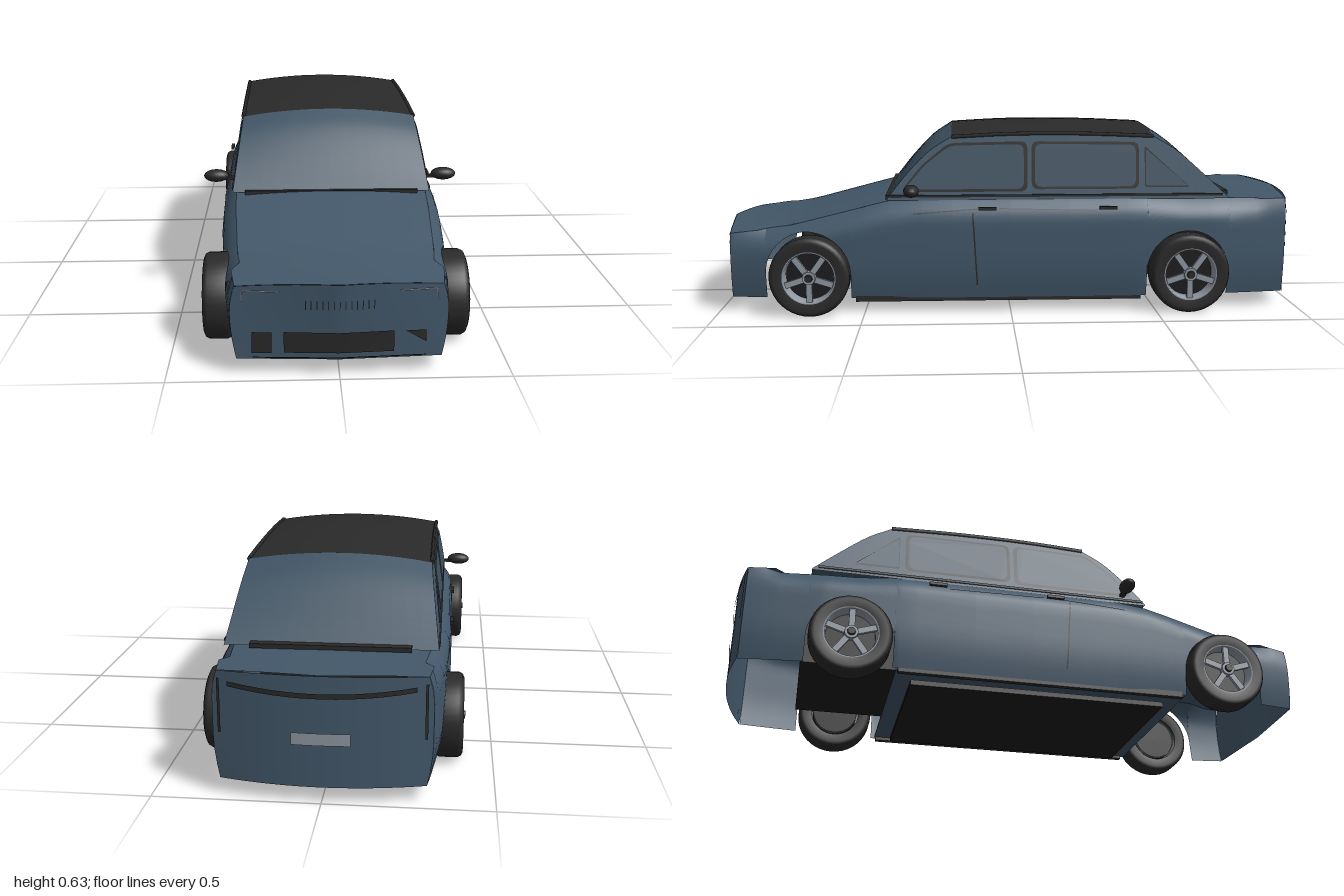
import * as THREE from 'three';

const mat = (name, color) => {
  const m = new THREE.MeshStandardMaterial({ color, side: THREE.DoubleSide });
  m.name = name;
  return m;
};
const lerp = THREE.MathUtils.lerp;

// Piecewise-linear lookup through [key, value] pairs with falling keys
function lookup(table, k) {
  for (let i = 1; i < table.length; i++) {
    const [a, va] = table[i - 1], [b, vb] = table[i];
    if (k >= b) return lerp(va, vb, Math.max(0, (a - k) / (a - b)));
  }
  return table[table.length - 1][1];
}

// Grid surface: fn(u, v, i, j) returns [x, y, z]
function patch(fn, nu, nv) {
  const pos = [], idx = [];
  for (let j = 0; j <= nv; j++) for (let i = 0; i <= nu; i++) pos.push(...fn(i / nu, j / nv, i, j));
  for (let j = 0; j < nv; j++) for (let i = 0; i < nu; i++) {
    const a = j * (nu + 1) + i, b = a + nu + 1;
    idx.push(a, b, a + 1, a + 1, b, b + 1);
  }
  const g = new THREE.BufferGeometry();
  g.setAttribute('position', new THREE.Float32BufferAttribute(pos, 3));
  g.setIndex(idx);
  g.computeVertexNormals();
  return g;
}

// Polygon with rounded corners
function roundShape(pts, r) {
  const P = pts.map(p => new THREE.Vector2(...p)), n = P.length, s = new THREE.Shape();
  P.forEach((p, i) => {
    const toward = q => p.clone().add(q.clone().sub(p).setLength(r));
    const a = toward(P[(i + n - 1) % n]), b = toward(P[(i + 1) % n]);
    if (i) s.lineTo(a.x, a.y); else s.moveTo(a.x, a.y);
    s.quadraticCurveTo(p.x, p.y, b.x, b.y);
  });
  s.closePath();
  return s;
}

// Body rules: shoulder height, plan width, section, nose and tail curves
const END = 0.955, LOW = 0.055;
const topY = z => lookup([[1, .273], [.93, .28], [.75, .303], [.42, .387], [.3, .4], [-.45, .4], [-.6, .388], [-1, .385]], z);
const planX = z => lookup([[1, .308], [.93, .317], [.75, .342], [.5, .357], [.2, .362], [-.4, .362], [-.7, .348], [-.9, .326], [-1, .312]], z);
function sideX(z, y) {
  const d = Math.max(0, 1 - (topY(z) - y) / 0.08), t = Math.max(0, (0.2 - y) / 0.15);
  const shoulder = Math.abs(z) > 0.85 ? 0.015 : 0.045;
  return planX(z) - shoulder * d * d - 0.018 * t * t;
}
const noseZ = (x, y) => END + (0.042 - (0.29 - y) * 0.1) * Math.max(0, 1 - Math.abs(x) / 0.31);
const tailZ = x => -END - 0.042 * Math.max(0, 1 - (x / 0.31) ** 2);
// Cabin side lean
const cabinX = y => 0.325 - 0.15 * (y - 0.4);

export function createModel() {
  const car = new THREE.Group();
  car.name = 'car';
  const paint = mat('bodyPaint', 0x43586a), glass = mat('glass', 0x3f5363), black = mat('blackTrim', 0x2a2a2a);
  const silver = mat('silver', 0x9098a2), dark = mat('darkMetal', 0x1c1c1e), seam = mat('grilleSlat', 0x5f6b76);
  const add = (name, geo, m, parent = car) => {
    const mesh = new THREE.Mesh(geo, m);
    mesh.name = name;
    parent.add(mesh);
    return mesh;
  };
  const box = (name, m, w, h, d, x, y, z) => add(name, new THREE.BoxGeometry(w, h, d), m).position.set(x, y, z);

  // Body side stations [z, lower edge], with round wheel arches
  const stations = [[END, LOW], [.9, LOW]];
  const arch = (c, r) => {
    stations.push([c + r, LOW]);
    for (let k = 0; k <= 24; k++) {
      const a = Math.PI * k / 24;
      stations.push([c + r * Math.cos(a), 0.14 + r * Math.sin(a)]);
    }
    stations.push([c - r, LOW]);
  };
  arch(0.69, 0.145);
  for (const z of [.5, .42, .3, .2, 0, -.2, -.4, -.45]) stations.push([z, LOW]);
  arch(-0.61, 0.142);
  stations.push([-.85, LOW], [-.9, LOW], [-END, LOW]);
  for (const s of [1, -1]) {
    add('bodySide', patch((u, v, i) => {
      const [z, low] = stations[i], y = lerp(topY(z), low, v ** 1.6);
      return [s * sideX(z, y), y, z];
    }, stations.length - 1, 12), paint);
  }

  // Hood and rear deck, gently crowned
  const deck = (name, z0, z1, crown) => add(name, patch((u, v) => {
    const z = lerp(z0, z1, v), k = u * 2 - 1, y = topY(z);
    return [k * sideX(z, y), y + crown * (1 - k * k), z + (Math.abs(z) === END ? Math.sign(z) * 0.04 * (1 - Math.abs(k)) : 0)];
  }, 16, 12), paint);
  deck('hood', END, 0.38, 0.014);
  deck('trunkLid', -0.6, -END, 0.006);

  // Front and rear faces
  add('frontFascia', patch((u, v) => {
    const k = u * 2 - 1, y = lerp(topY(END) + 0.014 * (1 - k * k), LOW, v);
    const x = k * sideX(END, Math.min(y, topY(END)));
    return [x, y, noseZ(x, y)];
  }, 20, 8), paint);
  add('rearFascia', patch((u, v) => {
    const k = u * 2 - 1, y = lerp(0.386 + 0.005 * (1 - k * k), LOW, v), x = k * sideX(-END, Math.min(y, 0.385));
    return [x, y, tailZ(x)];
  }, 20, 8), paint);

  // Thin plates that follow the nose or the tail
  const nosePlate = (name, m, x0, x1, y0, y1, shrink = 0) => add(name, patch((u, v) => {
    const x = lerp(x0, x1, u), y = lerp(y1, lerp(y0, y1, shrink * (1 - u)), v);
    return [x, y, noseZ(x, y) + 0.004];
  }, 4, 1), m);
  const tailPlate = (name, m, x0, x1, y0, y1, bow = 0) => add(name, patch((u, v) => {
    const x = lerp(x0, x1, u);
    return [x, lerp(y0, y1, v) + bow * x * x, tailZ(x) - 0.005];
  }, 12, 1), m);
  nosePlate('lowerGrille', black, -0.16, 0.157, 0.077, 0.142);
  nosePlate('sideIntake', black, -0.252, -0.195, 0.075, 0.14);
  nosePlate('sideIntake', black, 0.19, 0.25, 0.103, 0.14, 1);
  nosePlate('lowerSeam', black, -0.25, 0.25, 0.06, 0.063);
  for (let i = -6; i <= 6; i++) {
    const x = i * 0.0163;
    nosePlate('grilleSlat', Math.abs(i) < 3 ? silver : seam, x - 0.0015, x + 0.0015, 0.214, 0.242);
  }
  for (const s of [1, -1]) {
    nosePlate('headlightBar', silver, Math.min(s * 0.17, s * 0.28), Math.max(s * 0.17, s * 0.28), 0.264, 0.269);
    nosePlate('headlightDrop', silver, s * 0.279 - 0.0025, s * 0.279 + 0.0025, 0.233, 0.266);
    tailPlate('tailLamp', black, s * 0.298 - 0.004, s * 0.298 + 0.004, 0.2, 0.365);
  }
  tailPlate('tailStrip', black, -0.27, 0.27, 0.325, 0.34, 0.25);
  tailPlate('plate', silver, -0.085, 0.085, 0.185, 0.222);

  // Cabin: windscreen, roof and rear window share one edge line
  const line = pts => new THREE.CatmullRomCurve3(pts.map(([z, y]) => new THREE.Vector3(0, y, z)));
  const front = line([[.42, .395], [.35, .482], [.27, .56], [.2, .603]]);
  const roof = line([[.2, .603], [0, .612], [-.25, .612], [-.49, .603]]);
  const rear = line([[-.49, .603], [-.57, .555], [-.66, .478], [-.75, .395]]);
  for (const [name, curve, m] of [['windscreen', front, glass], ['roof', roof, black], ['rearWindow', rear, glass]]) {
    add(name, patch((u, v) => {
      const p = curve.getPoint(v), k = u * 2 - 1;
      return [k * cabinX(p.y), p.y + 0.125 * Math.max(0, p.y - 0.4) * (1 - k * k), p.z];
    }, 14, 12), m);
  }
  const edge = [...front.getPoints(10), ...roof.getPoints(10).slice(1), ...rear.getPoints(10).slice(1)];
  const windows = [
    ['frontWindow', [[.375, .418], [.30, .51], [.21, .582], [-.058, .587], [-.058, .418]], 0.025],
    ['rearSideWindow', [[-.072, .587], [-.072, .425], [-.44, .425], [-.44, .583]], 0.025],
    ['quarterWindow', [[-.46, .57], [-.46, .43], [-.615, .43]], 0.008],
  ];
  for (const s of [1, -1]) {
    add('cabinSide', patch((u, v, i) => {
      const p = edge[i], y = lerp(p.y, 0.39, v);
      return [s * cabinX(y), y, p.z];
    }, edge.length - 1, 2), paint);
    // Window frames with glass laid over them
    const sidePlate = (name, pts, r, off, m) => {
      const g = new THREE.ShapeGeometry(roundShape(pts, r), 6), p = g.attributes.position;
      for (let i = 0; i < p.count; i++) {
        const z = p.getX(i), y = p.getY(i);
        p.setXYZ(i, s * (cabinX(y) + off), y, z);
      }
      g.computeVertexNormals();
      add(name, g, m);
    };
    for (const [name, pts, r] of windows) {
      const cz = pts.reduce((a, p) => a + p[0], 0) / pts.length, cy = pts.reduce((a, p) => a + p[1], 0) / pts.length;
      sidePlate(name + 'Frame', pts, r, 0.003, black);
      sidePlate(name, pts.map(([z, y]) => [cz + (z - cz) * 0.94, cy + (y - cy) * 0.89]), r, 0.006, glass);
    }
    const rail = new THREE.CatmullRomCurve3(roof.getPoints(10).map(p => new THREE.Vector3(s * cabinX(p.y), p.y, p.z)));
    add('roofRail', new THREE.TubeGeometry(rail, 24, 0.007, 6), black);

    // Belt trim, handles and door seams
    box('beltTrim', black, 0.008, 0.008, 1.14, s * 0.325, 0.404, -0.16);
    for (const z of [0.08, -0.33]) box('doorHandle', black, 0.012, 0.01, 0.06, s * 0.362, 0.366, z);
    const ribbon = (name, z0, y0, z1, y1, w) => add(name, patch((u, v) => {
      const z = lerp(z0, z1, v) + (y0 - y1 > 0.1 ? (u - 0.5) * w : 0), y = lerp(y0, y1, v) + (y0 - y1 > 0.1 ? 0 : (u - 0.5) * w);
      return [s * (sideX(z, y) + 0.003), y, z];
    }, 1, 12), black);
    ribbon('doorSeam', 0.13, 0.35, 0.115, 0.1, 0.005);
    ribbon('shoulderLine', 0.33, 0.348, 0.1, 0.364, 0.004);
    ribbon('shoulderLine', 0.04, 0.364, -0.29, 0.356, 0.003);
    box('sill', black, 0.02, 0.02, 0.98, s * 0.333, 0.053, 0.04);

    // Door mirror
    const mirror = add('mirror', new THREE.SphereGeometry(1, 20, 12), black);
    mirror.scale.set(0.042, 0.021, 0.026);
    mirror.position.set(s * 0.383, 0.43, 0.335);
    box('mirrorStalk', black, 0.05, 0.01, 0.018, s * 0.335, 0.422, 0.335);
  }
  box('cowl', black, 0.57, 0.014, 0.02, 0, 0.394, 0.418);
  box('rearDeckTrim', black, 0.49, 0.014, 0.035, 0, 0.399, -0.75);

  // Underside
  box('underbody', paint, 0.66, 0.006, 1.0, 0, 0.058, 0.045);
  box('floorPan', dark, 0.56, 0.018, 0.88, 0, 0.036, 0.04);
  box('rearUnderbox', dark, 0.44, 0.2, 0.32, 0, 0.2, -0.6);
  box('firewall', dark, 0.62, 0.28, 0.01, 0, 0.2, 0.53);

  // Wheels: tyre, rim, five spokes and cap, turned around x
  const tyre = [[.088, -.04], [.118, -.045], [.129, -.04], [.135, -.028], [.135, .028], [.129, .04], [.118, .045], [.088, .04]];
  const rim = [[.09, .041], [.085, .041], [.08, .015], [.08, -.04]];
  const lathe = pts => new THREE.LatheGeometry(pts.map(p => new THREE.Vector2(...p)), 40);
  for (const s of [1, -1]) for (const z of [0.68, -0.61]) {
    const wheel = new THREE.Group();
    wheel.name = 'wheel';
    wheel.position.set(s * 0.36, 0.14, z);
    wheel.rotation.z = -s * Math.PI / 2;
    add('tyre', lathe(tyre), black, wheel);
    add('rim', lathe(rim), silver, wheel);
    add('brakeDisc', new THREE.CylinderGeometry(0.082, 0.082, 0.03, 32), dark, wheel).position.y = -0.015;
    for (let i = 0; i < 5; i++) {
      const spoke = new THREE.Group();
      spoke.name = 'spoke';
      spoke.rotation.y = i * Math.PI * 0.4;
      add('spokeBar', new THREE.BoxGeometry(0.075, 0.012, 0.02), silver, spoke).position.set(0.046, 0.03, 0);
      wheel.add(spoke);
    }
    add('hub', new THREE.CylinderGeometry(0.022, 0.024, 0.02, 20), silver, wheel).position.y = 0.033;
    add('hubCap', new THREE.CylinderGeometry(0.012, 0.014, 0.01, 16), black, wheel).position.y = 0.046;
    car.add(wheel);
  }
  return car;
}
